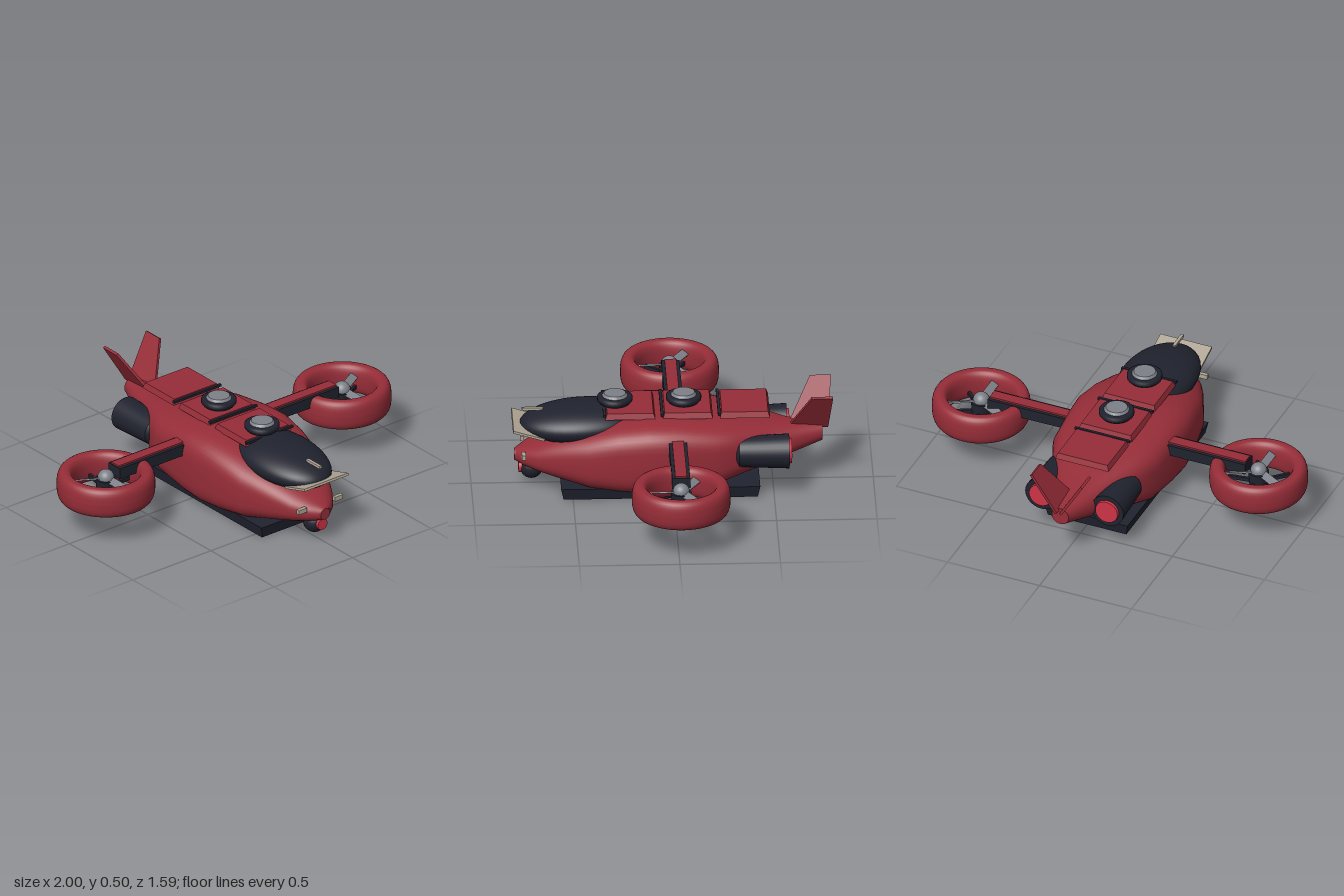
import * as THREE from 'three';

const mat = (name, color) => new THREE.MeshStandardMaterial({ name, color });

export function createModel() {
  const model = new THREE.Group();
  model.name = 'ductedFanAircraft';
  const red = mat('hullRed', 0x962d38);
  const dark = mat('darkNavy', 0x20222e);
  const tan = mat('paleTan', 0xb0a696);
  const grey = mat('metalGrey', 0x7d8188);
  const glow = mat('brightRed', 0xcc3345);

  const add = (name, geo, material, x = 0, y = 0, z = 0, parent = model) => {
    const mesh = new THREE.Mesh(geo, material);
    mesh.name = name;
    mesh.position.set(x, y, z);
    parent.add(mesh);
    return mesh;
  };
  const box = (w, h, d) => new THREE.BoxGeometry(w, h, d);
  const cyl = (rTop, rBottom, h, n = 32) => new THREE.CylinderGeometry(rTop, rBottom, h, n);
  // cylinder lying along z, its top facing +z
  const cylZ = (rFront, rBack, h) => cyl(rFront, rBack, h).rotateX(Math.PI / 2);
  // box whose top (or bottom) face is drawn in by an inset
  const taperedBox = (w, h, d, inset, side = 1) => {
    const geo = new THREE.BoxGeometry(w, h, d);
    const p = geo.attributes.position;
    for (let i = 0; i < p.count; i++) {
      if (p.getY(i) * side < 0) continue;
      p.setX(i, p.getX(i) - Math.sign(p.getX(i)) * inset);
      p.setZ(i, p.getZ(i) - Math.sign(p.getZ(i)) * inset);
    }
    geo.computeVertexNormals();
    return geo;
  };
  const superPoint = (t, n) => [Math.cos(t), Math.sin(t)].map(
    c => Math.sign(c) * Math.pow(Math.abs(c), 2 / n));

  // Hull: rounded-square sections [z, half width, bottom, top, squareness]
  const sections = [
    [0.78, 0.035, 0.13, 0.195, 2], [0.74, 0.085, 0.115, 0.215, 2.2],
    [0.67, 0.14, 0.095, 0.25, 2.5], [0.58, 0.19, 0.075, 0.295, 2.8],
    [0.42, 0.262, 0.042, 0.35, 3.3], [0.27, 0.29, 0.028, 0.39, 3.7],
    [0.13, 0.308, 0.022, 0.41, 3.8], [0, 0.3, 0.026, 0.41, 3.8],
    [-0.2, 0.285, 0.05, 0.39, 3.5], [-0.32, 0.235, 0.085, 0.372, 3.2],
    [-0.45, 0.17, 0.118, 0.348, 2.8], [-0.57, 0.115, 0.155, 0.322, 2.4],
    [-0.745, 0.045, 0.215, 0.31, 2],
  ];
  const N = 48, pos = [], idx = [];
  sections.forEach(([z, w, yb, yt, n], i) => {
    for (let j = 0; j < N; j++) {
      const [cx, cy] = superPoint(j / N * Math.PI * 2, n);
      pos.push(w * cx, (yb + yt) / 2 + (yt - yb) / 2 * cy, z);
      if (i === sections.length - 1) continue;
      const a = i * N + j, b = i * N + (j + 1) % N;
      idx.push(a, a + N, b, b, a + N, b + N);
    }
  });
  const hull = new THREE.BufferGeometry();
  hull.setAttribute('position', new THREE.Float32BufferAttribute(pos, 3));
  hull.setIndex(idx);
  hull.computeVertexNormals();
  add('hull', hull, red);
  add('noseCap', cylZ(0.03, 0.036, 0.02), red, 0, 0.162, 0.776);
  add('tailCap', cylZ(0.045, 0.046, 0.02), red, 0, 0.2625, -0.737);

  // Canopy with visor and probe
  const canopy = new THREE.SphereGeometry(1, 40, 28).scale(0.188, 0.093, 0.31);
  add('canopy', canopy, dark, 0, 0.342, 0.45).rotation.x = 0.05;
  add('visor', box(0.28, 0.012, 0.162), tan, 0, 0.32, 0.717).rotation.x = -0.29;
  add('canopyProbe', box(0.016, 0.014, 0.105), tan, 0, 0.407, 0.695);

  // Nose lights and sensor ball
  for (const s of [-1, 1]) add('noseLight', box(0.05, 0.024, 0.02), tan, s * 0.115, 0.2, 0.742);
  add('sensorBall', new THREE.SphereGeometry(0.058, 28, 20), dark, 0, 0.092, 0.7);
  add('sensorLens', cylZ(0.03, 0.03, 0.025), glow, 0, 0.095, 0.752);

  // Belly plate
  add('bellyPlate', taperedBox(0.45, 0.06, 0.99, 0.012, -1), dark, 0, 0.034, 0.065);

  // Roof panels, seams and turrets
  for (const z of [0.213, -0.073, -0.357]) {
    add('roofPanel', taperedBox(0.29, 0.03, 0.25, 0.01), red, 0, 0.418, z);
    add('panelSeam', box(0.3, 0.012, 0.014), dark, 0, 0.426, z + 0.128);
  }
  for (const z of [0.285, -0.057]) {
    const profile = [[0, 0.43], [0.07, 0.43], [0.088, 0.45], [0.088, 0.468], [0.078, 0.474], [0, 0.474]];
    const base = new THREE.LatheGeometry(profile.map(p => new THREE.Vector2(...p)), 32);
    add('turretBase', base, dark, 0, 0, z);
    add('turretCap', cyl(0.054, 0.064, 0.014), grey, 0, 0.48, z);
  }

  for (const s of [-1, 1]) {
    // Rear engines
    add('engine', cylZ(0.076, 0.087, 0.25), dark, s * 0.18, 0.236, -0.45);
    add('engineFront', cylZ(0.06, 0.076, 0.015), dark, s * 0.18, 0.236, -0.318);
    add('exhaust', cylZ(0.064, 0.06, 0.02), glow, s * 0.18, 0.236, -0.578);

    // V-tail fin, leaning outward
    const fin = new THREE.Shape([[0.575, 0], [0.775, 0], [0.795, 0.244], [0.69, 0.244]]
      .map(p => new THREE.Vector2(...p)));
    const finGeo = new THREE.ExtrudeGeometry(fin, { depth: 0.014, bevelEnabled: false });
    finGeo.translate(0, 0, -0.007);
    const a = s * Math.atan2(0.125, 0.21);
    finGeo.applyMatrix4(new THREE.Matrix4().makeBasis(
      new THREE.Vector3(0, 0, -1),
      new THREE.Vector3(Math.sin(a), Math.cos(a), 0),
      new THREE.Vector3(Math.cos(a), -Math.sin(a), 0)));
    add('tailFin', finGeo, red, s * 0.012, 0.293, 0);

    // Wing arm with top strip
    add('wingArm', box(0.45, 0.058, 0.09), dark, s * 0.475, 0.307, -0.018);
    add('wingStrip', box(0.45, 0.01, 0.058), red, s * 0.47, 0.34, -0.018);

    // Ducted fan
    const fan = new THREE.Group();
    fan.name = 'ductedFan';
    fan.position.set(s * 0.754, 0.255, -0.016);
    model.add(fan);
    const ring = [];
    for (let i = 0; i <= 28; i++) {
      const [cx, cy] = superPoint(i / 28 * Math.PI * 2, 2.6);
      ring.push(new THREE.Vector2(0.205 + 0.041 * cx, 0.079 * cy));
    }
    add('duct', new THREE.LatheGeometry(ring, 56), red, 0, 0, 0, fan);
    add('hub', cyl(0.052, 0.045, 0.1), dark, 0, -0.02, 0, fan);
    add('hubCap', new THREE.SphereGeometry(0.042, 24, 16), grey, 0, 0.035, 0, fan);
    for (let i = 0; i < 3; i++) {
      const blade = box(0.15, 0.008, 0.042).rotateX(0.45).translate(0.1, 0, 0);
      add('blade', blade, grey, 0, 0.03, 0, fan).rotation.y = -Math.PI / 2 + i * Math.PI * 2 / 3;
    }
    for (let i = 0; i < 5; i++) {
      const strut = box(0.15, 0.02, 0.014).translate(0.105, 0, 0);
      const angle = Math.PI / 2 + s * 0.17 + i * Math.PI * 2 / 5;
      add('strut', strut, dark, 0, -0.03, 0, fan).rotation.y = angle;
    }
  }
  return model;
}
